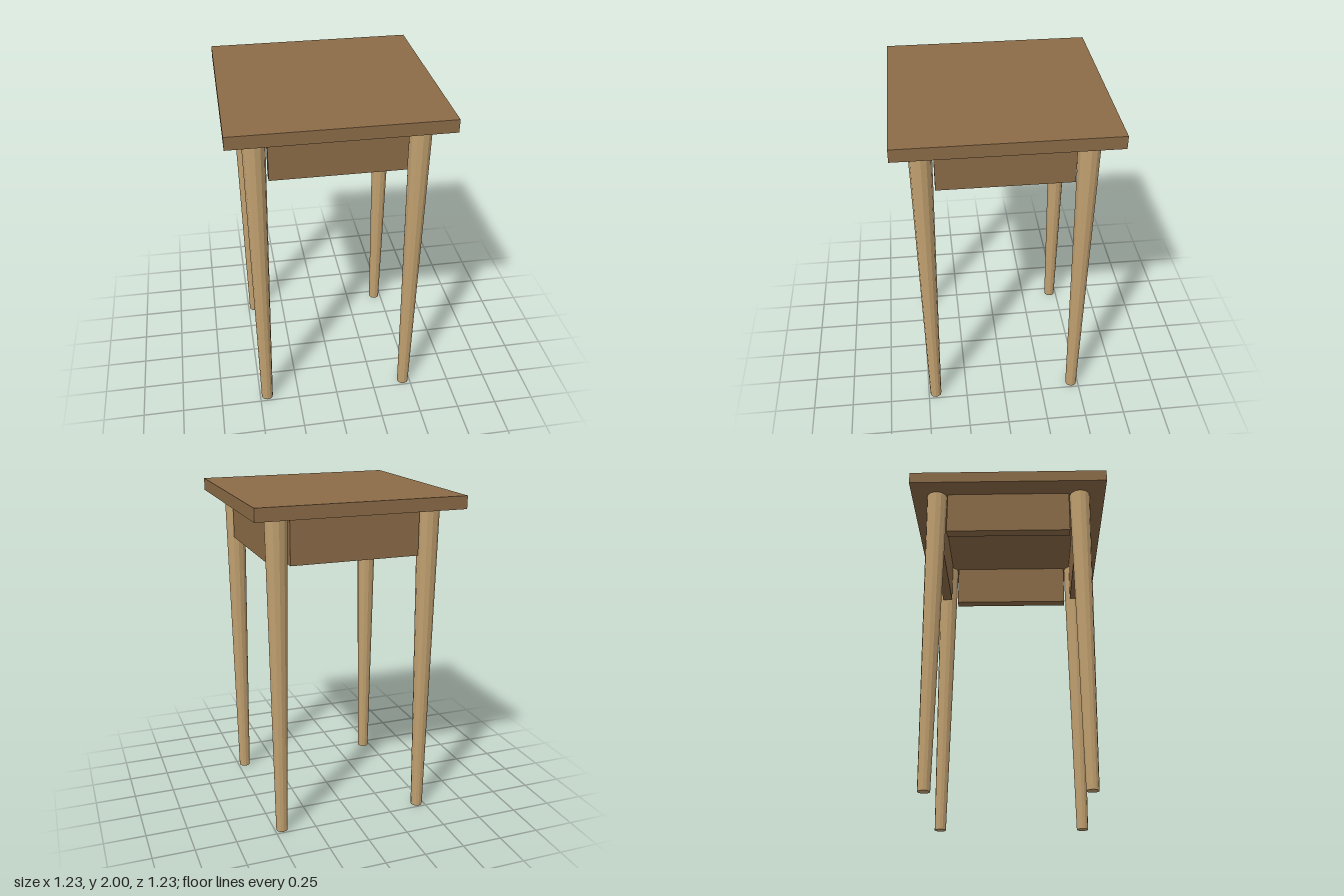
import * as THREE from 'three';

export function createModel() {
  const group = new THREE.Group();
  const darkWood = new THREE.MeshStandardMaterial({ color: 0x8b6b47 });
  darkWood.name = 'dark wood';
  const lightWood = new THREE.MeshStandardMaterial({ color: 0xc0a070, flatShading: true });
  lightWood.name = 'light wood';

  const HEIGHT = 2, TOP_WIDTH = 1.23, TOP_THICK = 0.075;
  const LEG_HEIGHT = HEIGHT - TOP_THICK;
  const INSET = 0.455; // leg centres and apron centre lines
  const APRON = { length: 0.77, height: 0.275, thick: 0.062 };

  const add = (name, geometry, material, x, y, z) => {
    const mesh = new THREE.Mesh(geometry, material);
    mesh.name = name;
    mesh.position.set(x, y, z);
    group.add(mesh);
    return mesh;
  };

  // Square top
  add('tableTop', new THREE.BoxGeometry(TOP_WIDTH, TOP_THICK, TOP_WIDTH), darkWood,
    0, HEIGHT - TOP_THICK / 2, 0);

  // Four tapered legs
  const legGeometry = new THREE.CylinderGeometry(0.065, 0.036, LEG_HEIGHT, 12);
  for (const [sx, xName] of [[1, 'Left'], [-1, 'Right']]) {
    for (const [sz, zName] of [[1, 'front'], [-1, 'back']]) {
      add(`${zName}${xName}Leg`, legGeometry, lightWood, sx * INSET, LEG_HEIGHT / 2, sz * INSET);
    }
  }

  // Four apron boards between the legs
  const apronGeometry = new THREE.BoxGeometry(APRON.length, APRON.height, APRON.thick);
  ['front', 'left', 'back', 'right'].forEach((side, i) => {
    const angle = i * Math.PI / 2;
    const board = add(`${side}Apron`, apronGeometry, darkWood,
      Math.sin(angle) * INSET, LEG_HEIGHT - APRON.height / 2, Math.cos(angle) * INSET);
    board.rotation.y = angle;
  });

  return group;
}
